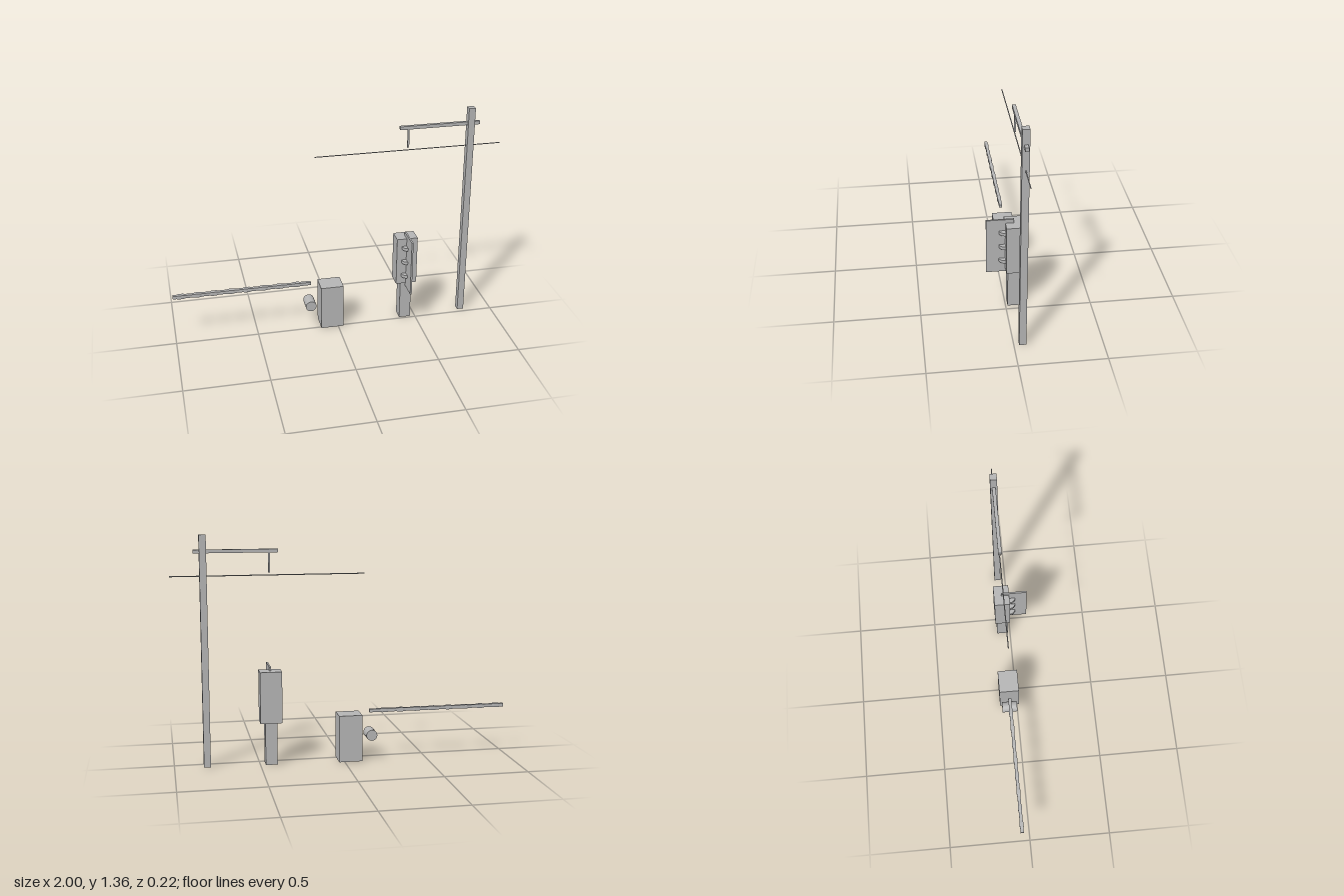
import * as THREE from 'three';

export function createModel() {
  const model = new THREE.Group();
  const grey = new THREE.MeshStandardMaterial({ color: 0xb4b4b4 });
  grey.name = 'plain grey';
  const Z = -0.05; // common centre line of the row

  const add = (name, geometry, x, y, z) => {
    const mesh = new THREE.Mesh(geometry, grey);
    mesh.name = name;
    mesh.position.set(x, y, z);
    model.add(mesh);
    return mesh;
  };
  // box given by its x, y and z ranges
  const box = (name, x0, x1, y0, y1, z0, z1) =>
    add(name, new THREE.BoxGeometry(x1 - x0, y1 - y0, z1 - z0),
      (x0 + x1) / 2, (y0 + y1) / 2, (z0 + z1) / 2);

  // mast with bracket arm, hanger and overhead wire
  box('mast', 0.79, 0.83, 0, 1.355, Z - 0.02, Z + 0.02);
  box('bracketArm', 0.38, 0.865, 1.25, 1.27, Z - 0.01, Z + 0.01);
  box('hanger', 0.427, 0.437, 1.135, 1.25, Z - 0.005, Z + 0.005);
  const wire = add('overheadWire', new THREE.CylinderGeometry(0.003, 0.003, 1.128, 8), 0.436, 1.12, Z);
  wire.rotation.z = Math.PI / 2;

  // signal: post, housing, upright fin and three round hoods
  box('signalPost', 0.399, 0.469, 0, 0.252, Z - 0.035, Z + 0.038);
  box('signalHousing', 0.369, 0.498, 0.252, 0.558, -0.095, 0);
  box('signalFin', 0.429, 0.439, 0.23, 0.582, -0.05, 0.11);
  for (const y of [0.313, 0.407, 0.5]) {
    add('signalHood', new THREE.CylinderGeometry(0.035, 0.035, 0.019, 16), 0.434, y, 0.003);
  }

  // barrier cabinet and counterweight
  box('barrierCabinet', -0.107, 0.033, 0, 0.281, -0.11, 0.013);
  const weight = add('counterweight', new THREE.CylinderGeometry(0.033, 0.033, 0.094, 20), -0.167, 0.152, Z - 0.002);
  weight.rotation.x = Math.PI / 2;

  // square barrier arm with eight slightly raised tapered bands
  const root2 = Math.SQRT2;
  const profile = [[0, 0], [0.0095, 0]];
  for (let i = 0; i < 8; i++) {
    const c = 0.048 + i * 0.1;
    profile.push([0.0095, c - 0.026], [0.0118, c - 0.013], [0.0118, c + 0.013], [0.0095, c + 0.026]);
  }
  profile.push([0.0095, 0.84], [0, 0.84]);
  const armShape = new THREE.LatheGeometry(
    profile.map(([r, y]) => new THREE.Vector2(r * root2, y)), 4, Math.PI / 4).toNonIndexed();
  armShape.computeVertexNormals();
  const arm = add('barrierArm', armShape, -1, 0.294, Z);
  arm.rotation.z = -Math.PI / 2;

  return model;
}
